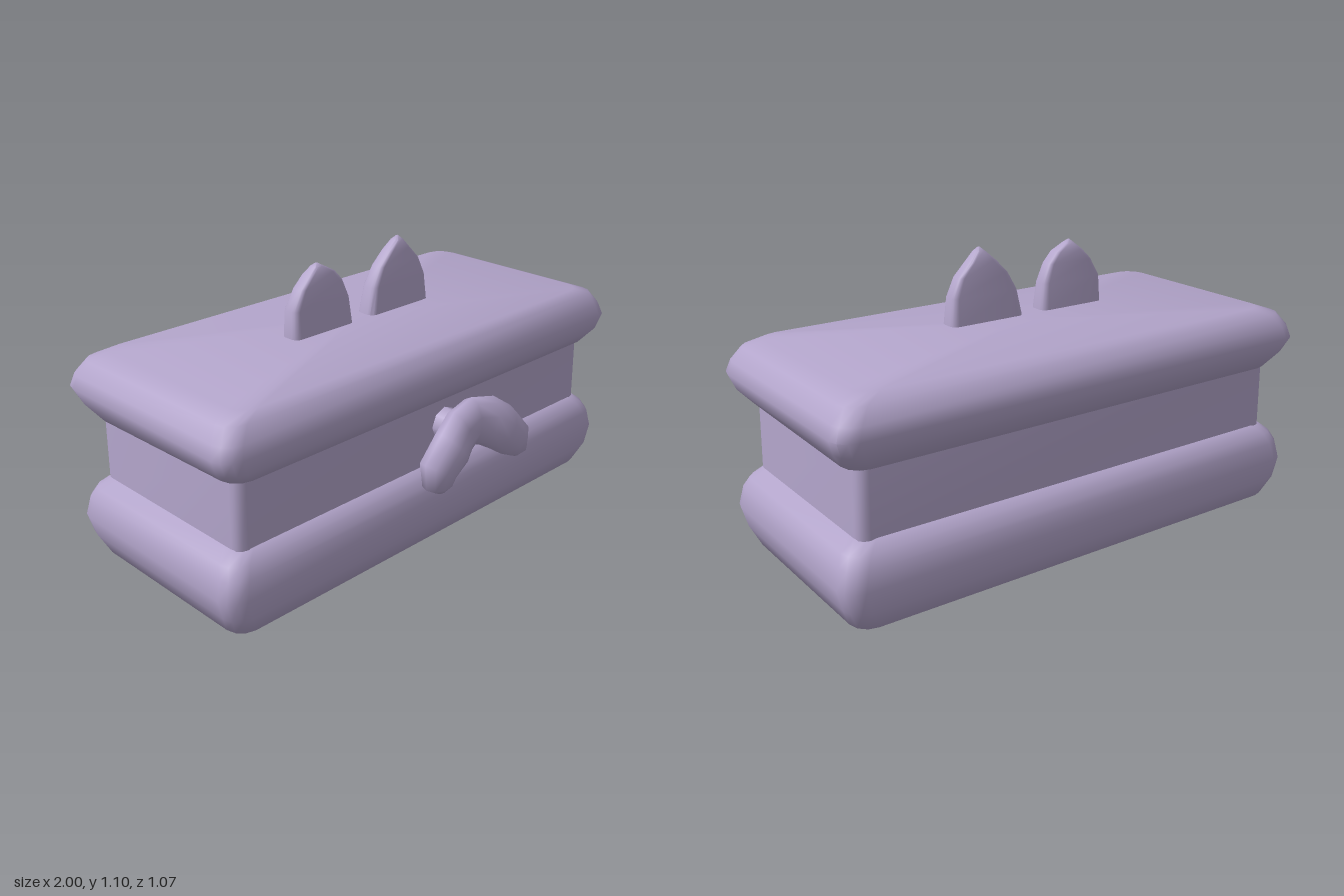
import * as THREE from 'three';
import { toCreasedNormals } from 'three/addons/utils/BufferGeometryUtils.js';

const material = new THREE.MeshStandardMaterial({ color: 0xb3a5cb });

// Skins a list of equal-length rings of Vector3 and closes both ends.
function loft(name, rings, crease = 0.9) {
  const pos = [];
  const n = rings[0].length;
  const tri = (...pts) => pts.forEach(p => pos.push(p.x, p.y, p.z));
  const middle = ring => ring.reduce((s, p) => s.add(p), new THREE.Vector3()).divideScalar(n);
  const first = rings[0], last = rings[rings.length - 1];
  const c0 = middle(first), c1 = middle(last);
  for (let i = 0; i < n; i++) {
    const j = (i + 1) % n;
    for (let k = 0; k < rings.length - 1; k++) {
      const a = rings[k], b = rings[k + 1];
      tri(a[i], a[j], b[j]);
      tri(a[i], b[j], b[i]);
    }
    tri(c0, first[j], first[i]);
    tri(c1, last[i], last[j]);
  }
  const geometry = new THREE.BufferGeometry();
  geometry.setAttribute('position', new THREE.Float32BufferAttribute(pos, 3));
  const mesh = new THREE.Mesh(toCreasedNormals(geometry, crease), material);
  mesh.name = name;
  return mesh;
}

// Horizontal rounded rectangle, wound anticlockwise seen from above.
function rectRing(y, x0, x1, zBack, zFront, r, tilt = 0) {
  const corners = [[x1 - r, zBack + r], [x0 + r, zBack + r], [x0 + r, zFront - r], [x1 - r, zFront - r]];
  const ring = [];
  corners.forEach(([cx, cz], q) => {
    for (let s = 0; s <= 3; s++) {
      const a = (q + s / 3) * Math.PI / 2;
      const z = cz - r * Math.sin(a);
      ring.push(new THREE.Vector3(cx + r * Math.cos(a), y + tilt * z, z));
    }
  });
  return ring;
}

// Rows: height, half width, back z, front z, tilt.
const slab = (name, rows, r) =>
  loft(name, rows.map(([y, h, zb, zf, t]) => rectRing(y, -h, h, zb, zf, r, t)), 1.0);

export function createModel() {
  const group = new THREE.Group();

  group.add(slab('lowerSlab', [
    [0.0, 0.88, -0.42, 0.27],
    [0.025, 0.94, -0.495, 0.33],
    [0.1, 0.975, -0.525, 0.362],
    [0.18, 0.997, -0.53, 0.368],
    [0.25, 0.98, -0.52, 0.36],
    [0.29, 0.96, -0.5, 0.34],
    [0.325, 0.92, -0.465, 0.31],
  ], 0.07));

  group.add(slab('middleBody', [
    [0.3, 0.91, -0.465, 0.308],
    [0.6, 0.905, -0.465, 0.308],
  ], 0.04));

  group.add(slab('upperSlab', [
    [0.575, 0.93, -0.47, 0.335, 0.02],
    [0.63, 0.975, -0.515, 0.37],
    [0.69, 1.0, -0.54, 0.383],
    [0.735, 0.985, -0.53, 0.37],
    [0.785, 0.95, -0.5, 0.345],
    [0.81, 0.88, -0.455, 0.315],
  ], 0.07));

  // Two thin pointed fins hovering just above the lid; rows: height, left, right, back z, front z.
  const fins = [
    ['rightFin', [
      [0.83, -0.385, -0.1, -0.075, 0.01], [0.93, -0.38, -0.112, -0.068, 0.003],
      [1.0, -0.34, -0.14, -0.063, -0.003], [1.04, -0.3, -0.175, -0.06, -0.006],
      [1.068, -0.265, -0.225, -0.05, -0.015], [1.08, -0.252, -0.246, -0.033, -0.027]]],
    ['leftFin', [
      [0.83, -0.012, 0.3, -0.075, 0.01], [0.93, 0.01, 0.29, -0.068, 0.003],
      [1.0, 0.05, 0.26, -0.063, -0.003], [1.05, 0.1, 0.212, -0.059, -0.006],
      [1.085, 0.14, 0.18, -0.05, -0.012], [1.1, 0.157, 0.163, -0.033, -0.027]]],
  ];
  for (const [name, rows] of fins) {
    group.add(loft(name, rows.map(([y, x0, x1, zb, zf]) =>
      rectRing(y, x0, x1, zb, zf, Math.min(x1 - x0, zf - zb) * 0.3)), 0.8));
  }

  // Drooping two-lobed handle; stations: x, y, z, in-plane radius, depth radius.
  const stations = [
    [-0.125, 0.322, 0.47, 0.025, 0.025], [-0.133, 0.345, 0.465, 0.062, 0.052],
    [-0.13, 0.395, 0.46, 0.08, 0.065], [-0.06, 0.46, 0.46, 0.09, 0.066],
    [0.0, 0.5, 0.445, 0.094, 0.06], [0.07, 0.515, 0.435, 0.094, 0.055],
    [0.14, 0.5, 0.45, 0.094, 0.06], [0.2, 0.46, 0.468, 0.09, 0.068],
    [0.27, 0.395, 0.468, 0.08, 0.068], [0.28, 0.345, 0.468, 0.062, 0.055],
    [0.275, 0.322, 0.47, 0.025, 0.025],
  ];
  const rings = stations.map(([x, y, z, rp, rz], k) => {
    const a = stations[Math.max(k - 1, 0)], b = stations[Math.min(k + 1, stations.length - 1)];
    const t = new THREE.Vector2(b[0] - a[0], b[1] - a[1]).normalize();
    return Array.from({ length: 10 }, (_, i) => {
      const u = i / 10 * Math.PI * 2, c = rp * Math.cos(u);
      return new THREE.Vector3(x - t.y * c, y + t.x * c, z + rz * Math.sin(u));
    });
  });
  group.add(loft('handle', rings, 1.2));

  // Peg joining the handle to the body
  const peg = new THREE.Mesh(new THREE.CylinderGeometry(0.055, 0.066, 0.13, 8), material);
  peg.rotation.x = Math.PI / 2;
  peg.position.set(0.07, 0.465, 0.37);
  peg.name = 'handlePeg';
  group.add(peg);

  return group;
}
